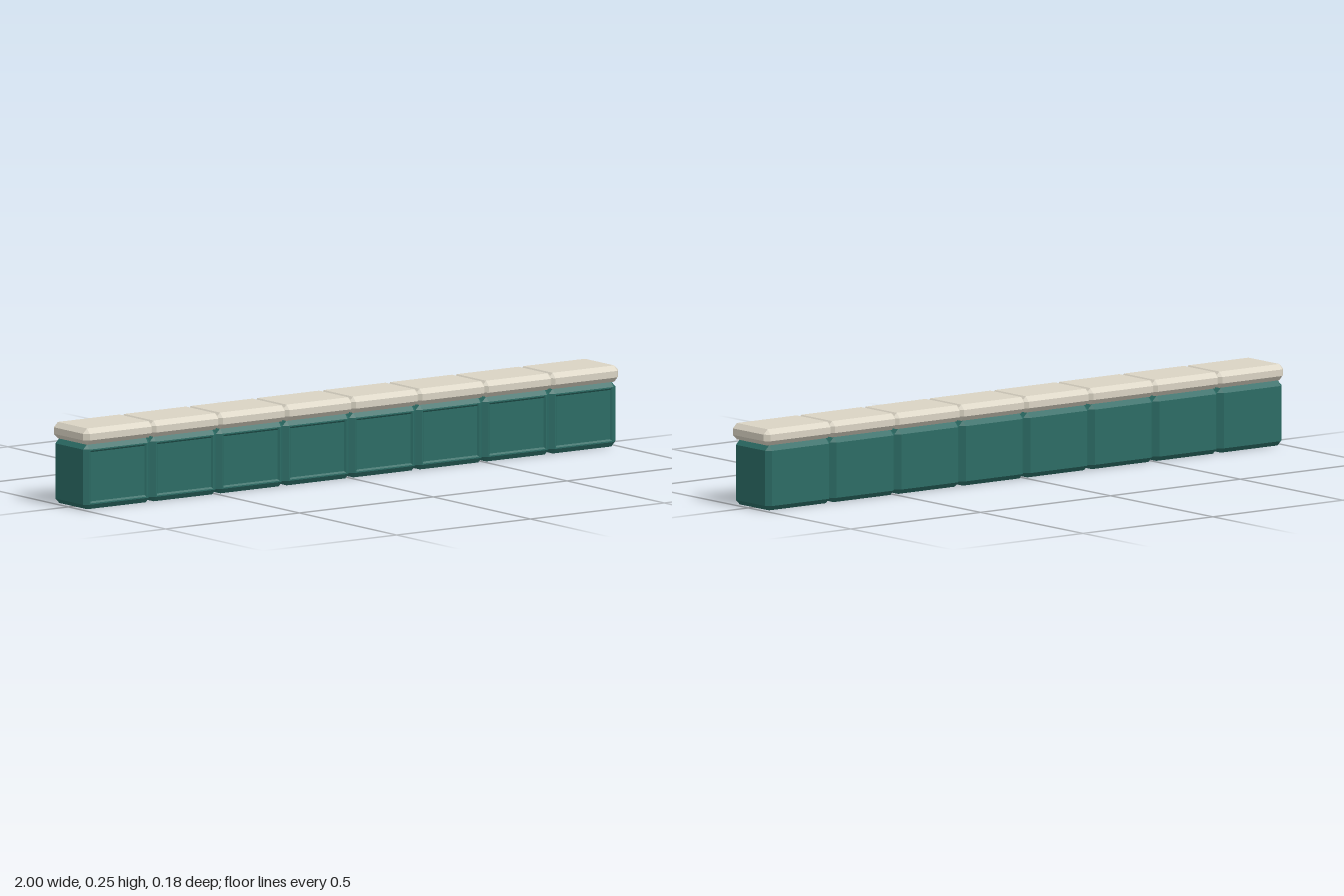
import * as THREE from 'three';

const COUNT = 8, PITCH = 0.2485;

// One loop in the xy plane: a rectangle of half size w, h with corners cut by c.
function loop(w, h, c, z) {
  return [
    [w, -h + c], [w, h - c], [w - c, h], [-w + c, h],
    [-w, h - c], [-w, -h + c], [-w + c, -h], [w - c, -h],
  ].map(([x, y]) => new THREE.Vector3(x, y, z));
}

// Skin loops from back to front and close both ends.
function skin(loops) {
  const pos = [], ab = new THREE.Vector3(), ac = new THREE.Vector3();
  const tri = (a, b, c) => {
    ab.subVectors(b, a).cross(ac.subVectors(c, a));
    if (ab.length() > 1e-9) for (const p of [a, b, c]) pos.push(p.x, p.y, p.z);
  };
  for (let i = 0; i + 1 < loops.length; i++) {
    const A = loops[i], B = loops[i + 1];
    for (let j = 0; j < 8; j++) {
      const k = (j + 1) % 8;
      tri(A[j], A[k], B[k]);
      tri(A[j], B[k], B[j]);
    }
  }
  const back = loops[0], front = loops[loops.length - 1];
  for (let j = 1; j < 7; j++) {
    tri(back[0], back[j + 1], back[j]);
    tri(front[0], front[j], front[j + 1]);
  }
  const g = new THREE.BufferGeometry();
  g.setAttribute('position', new THREE.Float32BufferAttribute(pos, 3));
  g.computeVertexNormals();
  return g;
}

// Box with chamfered edges between two z values.
function chamferLoops(width, height, z0, z1, c, cFront = c) {
  const w = width / 2, h = height / 2;
  return [
    loop(w - c, h - c, 0, z0), loop(w, h, c, z0 + c),
    loop(w, h, c, z1 - cFront), loop(w - c, h - c, 0, z1),
  ];
}

export function createModel() {
  const group = new THREE.Group();
  group.name = 'counterRow';
  const teal = new THREE.MeshStandardMaterial({ color: 0x2b6b64, flatShading: true });
  const stone = new THREE.MeshStandardMaterial({ color: 0xd9d3c3, flatShading: true });

  // Cabinet block with a shallow bevelled recess in its front
  const bw = PITCH, bh = 0.199, c = 0.015;
  const cabinetGeo = skin([
    ...chamferLoops(bw, bh, -0.09, 0.079, c, 0.011),
    loop(bw / 2 - c - 0.004, bh / 2 - c - 0.004, 0, 0.079),
    loop(bw / 2 - c - 0.009, bh / 2 - c - 0.009, 0, 0.074),
  ]);

  // Worktop slab, slightly longer than the cabinet
  const slabGeo = skin(chamferLoops(2 - (COUNT - 1) * PITCH, 0.05, -0.09, 0.09, c));

  for (let i = 0; i < COUNT; i++) {
    const unit = new THREE.Group();
    unit.name = `counterUnit${i + 1}`;
    unit.position.x = (i - (COUNT - 1) / 2) * PITCH;
    const cabinet = new THREE.Mesh(cabinetGeo, teal);
    cabinet.name = 'cabinet';
    cabinet.position.y = bh / 2;
    const slab = new THREE.Mesh(slabGeo, stone);
    slab.name = 'worktop';
    slab.position.y = bh + 0.025;
    unit.add(cabinet, slab);
    group.add(unit);
  }
  return group;
}
